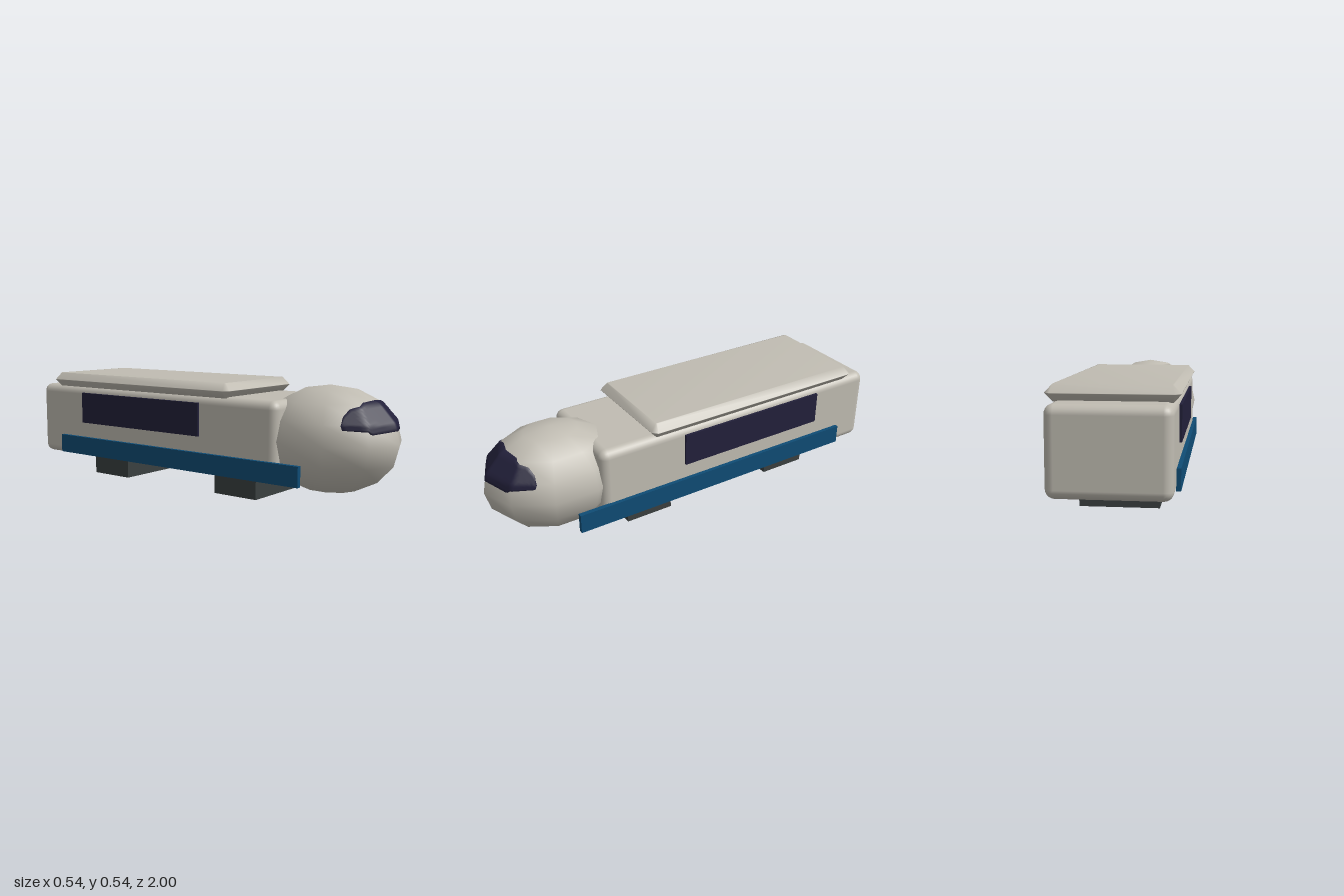
import * as THREE from 'three';
import { mergeVertices } from 'three/addons/utils/BufferGeometryUtils.js';
import { RoundedBoxGeometry } from 'three/addons/geometries/RoundedBoxGeometry.js';

const material = (name, color, side = THREE.FrontSide) => {
  const m = new THREE.MeshStandardMaterial({ color, side });
  m.name = name;
  return m;
};

// Linear lookup in a short list of [x, y] points
function lookup(points, x) {
  for (let i = 1; i < points.length; i++) {
    const [x0, y0] = points[i - 1], [x1, y1] = points[i];
    if (x <= x1) return y0 + (y1 - y0) * (x - x0) / (x1 - x0);
  }
  return points[points.length - 1][1];
}

// Roof slab with a pointed, softly shaded rim
function roofGeometry(width, length, height, bevel) {
  const w = width / 2 - bevel, l = length / 2 - bevel, c = 0.006;
  const corners = [[w, l - c], [w - c, l], [c - w, l], [-w, l - c],
    [-w, c - l], [c - w, -l], [w - c, -l], [w, c - l]];
  const shape = new THREE.Shape(corners.map(([x, y]) => new THREE.Vector2(x, y)));
  let g = new THREE.ExtrudeGeometry(shape, {
    depth: 0.002, bevelSegments: 1, bevelSize: bevel, bevelThickness: height / 2 - 0.001,
  });
  g.translate(0, 0, -0.001).rotateX(-Math.PI / 2);
  g.deleteAttribute('uv');
  g.deleteAttribute('normal');
  g = mergeVertices(g, 1e-4);
  g.computeVertexNormals();
  return g;
}

// Curved window that hugs the front of the nose, its rim folded into the surface
function windshieldGeometry(nose, center) {
  const top = [[0, 0.48], [0.08, 0.473], [0.14, 0.45], [0.175, 0.418], [0.199, 0.385]];
  const bottom = [[0, 0.355], [0.13, 0.347], [0.142, 0.36], [0.199, 0.366]];
  const cols = 42, rows = 10, positions = [], index = [];
  const ray = new THREE.Raycaster();
  const back = new THREE.Vector3(0, 0, -1);
  const clamp = THREE.MathUtils.clamp;
  for (let j = -1; j <= rows + 1; j++) {
    for (let i = -1; i <= cols + 1; i++) {
      const x = 0.199 * (2 * clamp(i / cols, 0, 1) - 1);
      const y = THREE.MathUtils.lerp(lookup(bottom, Math.abs(x)), lookup(top, Math.abs(x)), clamp(j / rows, 0, 1));
      const s = 1.02;
      const origin = new THREE.Vector3(x / s, center.y + (y - center.y) / s, 2);
      ray.set(origin, back);
      const p = ray.intersectObject(nose)[0].point;
      const rim = i < 0 || j < 0 || i > cols || j > rows;
      p.sub(center).multiplyScalar(rim ? 0.99 : s).add(center);
      positions.push(p.x, p.y, p.z);
      if (i <= cols && j <= rows) {
        const a = (j + 1) * (cols + 3) + i + 1, b = a + cols + 3;
        index.push(a, a + 1, b, a + 1, b + 1, b);
      }
    }
  }
  const g = new THREE.BufferGeometry();
  g.setAttribute('position', new THREE.Float32BufferAttribute(positions, 3));
  g.setIndex(index);
  g.computeVertexNormals();
  return g;
}

export function createModel() {
  const group = new THREE.Group();
  const shell = material('warm grey shell', 0xc0bcb2);
  const glass = material('dark glass', 0x22203a);
  const glassCurved = glass;
  glassCurved.side = THREE.DoubleSide;
  const blue = material('blue trim', 0x0f4c75);
  const dark = material('dark undercarriage', 0x3a4040);

  const add = (name, geometry, mat, x = 0, y = 0, z = 0) => {
    const mesh = new THREE.Mesh(geometry, mat);
    mesh.name = name;
    mesh.position.set(x, y, z);
    group.add(mesh);
    return mesh;
  };
  // Box given by its limits on each axis
  const addBox = (name, mat, [x0, x1], [y0, y1], [z0, z1]) =>
    add(name, new THREE.BoxGeometry(x1 - x0, y1 - y0, z1 - z0), mat,
      (x0 + x1) / 2, (y0 + y1) / 2, (z0 + z1) / 2);

  // Main body and roof
  add('body', new RoundedBoxGeometry(0.5, 0.37, 1.54, 3, 0.04), shell, 0, 0.285, -0.23);
  add('roof', roofGeometry(0.538, 1.175, 0.07, 0.03), shell, 0, 0.5, -0.3025);

  // Rounded nose with few sides
  const center = new THREE.Vector3(0, 0.2925, 0.663);
  const noseGeometry = new THREE.SphereGeometry(1, 10, 8);
  noseGeometry.rotateY(Math.PI / 2).scale(0.263, 0.2425, 0.337).translate(center.x, center.y, center.z);
  const nose = add('nose', noseGeometry, shell);
  add('windshield', windshieldGeometry(nose, center), glassCurved);

  // Side windows and skirts, mirrored
  for (const [side, s] of [['left', 1], ['right', -1]]) {
    const span = (a, b) => (s > 0 ? [a, b] : [-b, -a]);
    addBox(side + 'Window', glass, span(0.252 - 0.004, 0.261), [0.28, 0.437], [-0.675, 0.11]);
    addBox(side + 'Skirt', blue, span(0.247, 0.268), [0.111, 0.204], [-0.835, 0.665]);
  }

  // Undercarriage blocks
  addBox('frontBogie', dark, [-0.171, 0.171], [0, 0.086], [0.14, 0.38]);
  addBox('rearBogie', dark, [-0.171, 0.171], [0, 0.086], [-0.675, -0.435]);
  return group;
}
